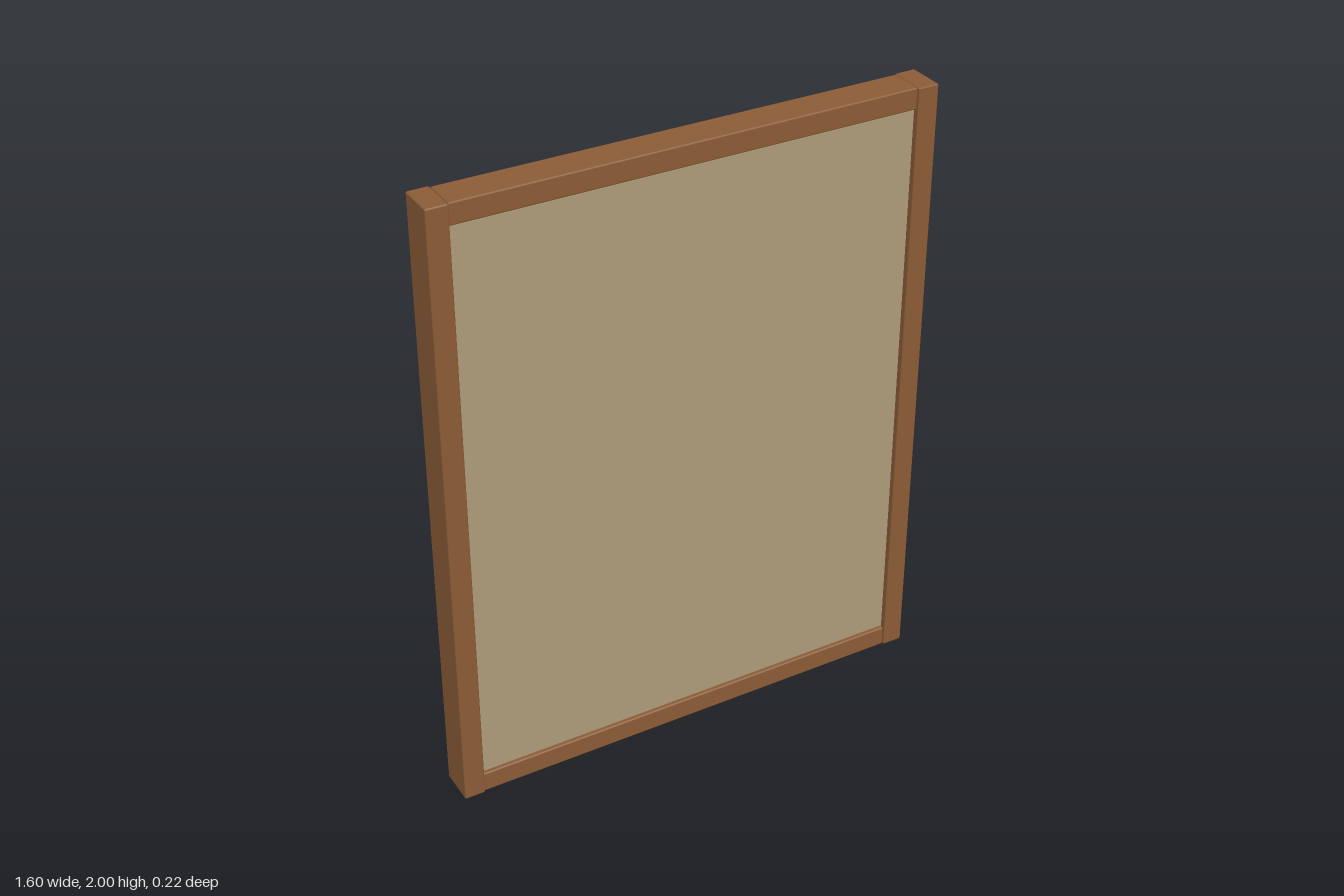
import * as THREE from 'three';
import { RoundedBoxGeometry } from 'three/addons/geometries/RoundedBoxGeometry.js';

const mat = (name, color, side = THREE.FrontSide) => {
  const m = new THREE.MeshStandardMaterial({ color, side });
  m.name = name;
  return m;
};

export function createModel() {
  const frameWood = mat('frame wood', 0x8b5c36);
  const board = mat('board', 0xae9c7a);
  const black = mat('black steel', 0x2c2c30);
  const metal = mat('gun metal', 0x3d3d42);
  const stockWood = mat('stock wood', 0x74402a);
  const white = mat('white tag', 0xcccacf, THREE.DoubleSide);
  const yellow = mat('yellow tag', 0xc9b23c, THREE.DoubleSide);

  const root = new THREE.Group();
  root.name = 'displayRack';

  const add = (parent, name, geo, material, x = 0, y = 0, z = 0) => {
    const mesh = new THREE.Mesh(geo, material);
    mesh.name = name;
    mesh.position.set(x, y, z);
    parent.add(mesh);
    return mesh;
  };
  const box = (w, h, d) => new THREE.BoxGeometry(w, h, d);
  // cylinder lying along x
  const rod = (r, len, sides) => new THREE.CylinderGeometry(r, r, len, sides).rotateZ(Math.PI / 2);
  // bevelled side profile, centred in depth
  const slab = (pts, depth, bevel, hole) => {
    const shape = new THREE.Shape(pts.map(p => new THREE.Vector2(...p)));
    if (hole) shape.holes.push(new THREE.Path(hole.map(p => new THREE.Vector2(...p))));
    return new THREE.ExtrudeGeometry(shape, {
      depth: depth - 2 * bevel, bevelEnabled: bevel > 0, bevelSize: bevel,
      bevelThickness: bevel, bevelOffset: -bevel, bevelSegments: 1,
    }).translate(0, 0, bevel - depth / 2);
  };

  // Frame and board
  for (const s of [1, -1]) {
    add(root, s > 0 ? 'leftPost' : 'rightPost',
      new RoundedBoxGeometry(0.068, 2, 0.124, 1, 0.005), frameWood, s * 0.766, 1, 0.048);
    add(root, s > 0 ? 'topRail' : 'bottomRail',
      new RoundedBoxGeometry(1.464, 0.068, 0.112, 1, 0.005), frameWood, 0, 1 + s * 0.966, 0.048);
  }
  add(root, 'backBoard', box(1.47, 1.88, 0.04), board, 0, 1, 0.07);

  // Bars with bent hooks
  const hookAngle = Math.atan2(0.03, 0.048);
  for (const y of [1.645, 1.145, 0.645]) {
    const row = new THREE.Group();
    row.name = 'hookBar';
    row.position.y = y;
    add(row, 'bar', box(1.464, 0.05, 0.03), black, 0, 0, 0.035);
    for (const x of [-0.55, -0.2, 0.2, 0.55]) {
      add(row, 'hookStem', new THREE.CylinderGeometry(0.007, 0.007, 0.1, 8).rotateX(Math.PI / 2),
        black, x, 0, -0.026);
      add(row, 'hookTip', new THREE.CylinderGeometry(0.007, 0.007, 0.056, 8).rotateX(-hookAngle),
        black, x, 0.022, -0.09);
    }
    root.add(row);
  }

  // Long guns, muzzle toward +x, resting on the hooks
  const addGun = (x, y) => {
    const gun = new THREE.Group();
    gun.name = 'longGun';
    gun.position.set(x, y, -0.05);
    add(gun, 'barrel', rod(0.018, 0.53, 12), metal, 0.385, 0.068);
    add(gun, 'magazineTube', rod(0.015, 0.46, 12), metal, 0.35, 0.034);
    add(gun, 'barrelBand', box(0.02, 0.05, 0.026), metal, 0.56, 0.046);
    add(gun, 'foreEnd', new RoundedBoxGeometry(0.3, 0.046, 0.04, 1, 0.009), stockWood, 0.315, 0.029);
    add(gun, 'receiver', slab([
      [-0.26, 0.012], [0.137, 0.012], [0.137, 0.086], [0.12, 0.097], [-0.22, 0.097], [-0.26, 0.085],
    ], 0.042, 0.006), metal);
    add(gun, 'triggerGuard', slab([
      [-0.2, 0.014], [-0.19, -0.045], [-0.13, -0.05], [-0.105, 0.014],
    ], 0.026, 0, [[-0.182, 0.008], [-0.125, 0.008], [-0.14, -0.034], [-0.178, -0.032]]), metal);
    add(gun, 'trigger', box(0.012, 0.04, 0.01), metal, -0.155, -0.005);
    add(gun, 'stock', slab([
      [-0.255, 0.014], [-0.255, 0.085], [-0.35, 0.074], [-0.595, 0.062], [-0.61, 0.052],
      [-0.612, -0.035], [-0.6, -0.048], [-0.4, -0.014], [-0.33, 0.008],
    ], 0.038, 0.007), stockWood);
    root.add(gun);
  };
  addGun(0, 1.645);
  addGun(-0.08, 0.645);

  // Hanging tags on thin cords
  const addTag = (x, y, material) => {
    const tag = new THREE.Group();
    tag.name = 'hangingTag';
    tag.position.set(x, y, 0);
    add(tag, 'tagPlate', box(0.132, 0.1, 0.003), material, 0, -0.15, -0.08);
    const cord = new THREE.LineCurve3(
      new THREE.Vector3(-0.015, 0, -0.045), new THREE.Vector3(0, -0.105, -0.081));
    add(tag, 'tagCord', new THREE.TubeGeometry(cord, 1, 0.003, 6), black);
    root.add(tag);
  };
  addTag(0.505, 1.645, white);
  addTag(0.455, 1.145, yellow);
  addTag(-0.495, 0.645, yellow);

  return root;
}
